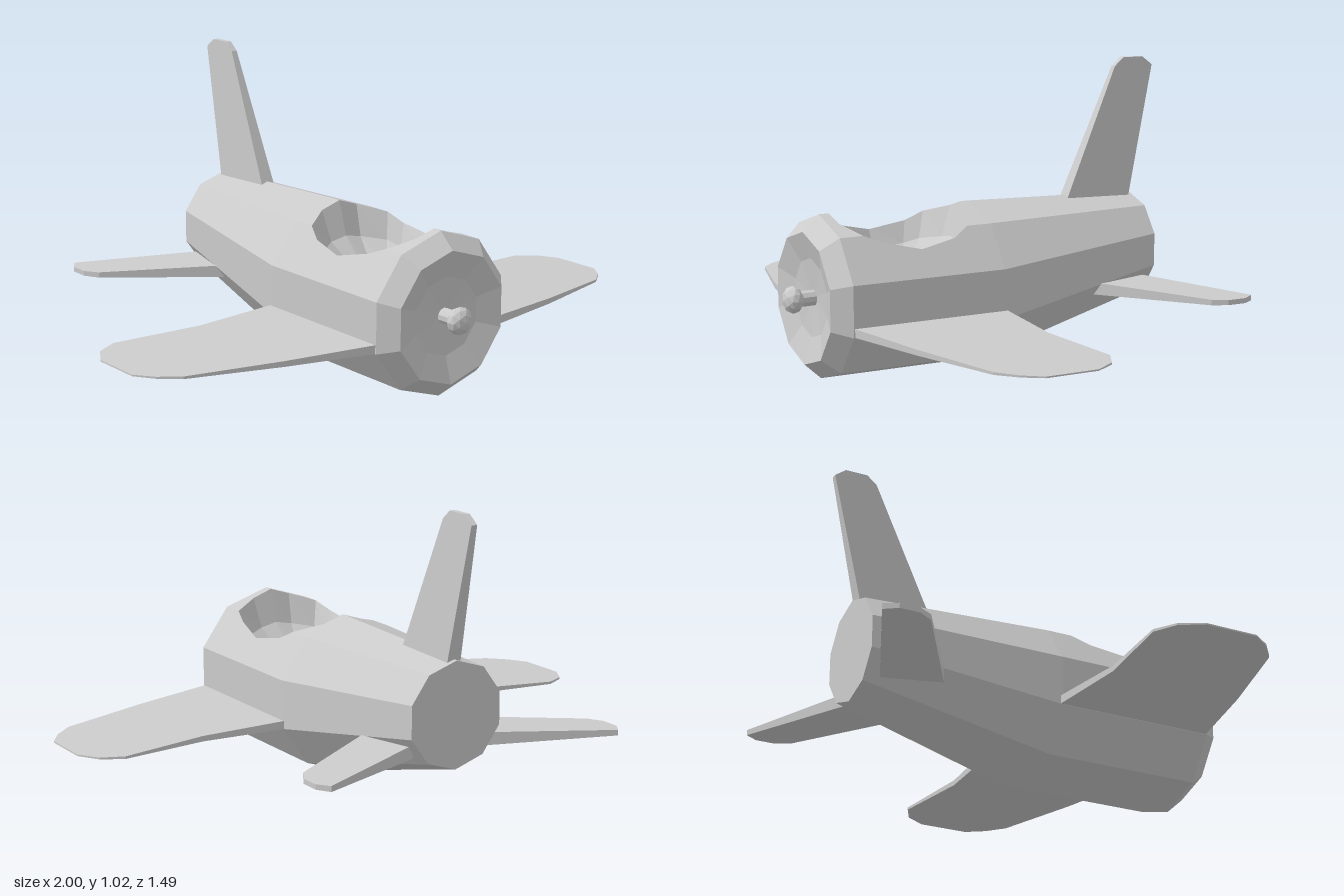
import * as THREE from 'three';

const material = new THREE.MeshStandardMaterial({ color: 0xcccccc, flatShading: true });
const openMaterial = new THREE.MeshStandardMaterial({ color: 0xcccccc, flatShading: true, side: THREE.DoubleSide });

const SIDES = 10, RADIUS = 0.28, AXIS = 0.285;
const X1 = RADIUS * Math.sin(Math.PI / 5), Y1 = AXIS + RADIUS * Math.cos(Math.PI / 5);
const X2 = RADIUS * Math.sin(Math.PI * 2 / 5), Y2 = AXIS + RADIUS * Math.cos(Math.PI * 2 / 5);

function addMesh(parent, name, geometry, mat = material) {
  const mesh = new THREE.Mesh(geometry, mat);
  mesh.name = name;
  parent.add(mesh);
  return mesh;
}

function fromTriangles(positions) {
  const g = new THREE.BufferGeometry();
  g.setAttribute('position', new THREE.Float32BufferAttribute(positions, 3));
  g.computeVertexNormals();
  return g;
}

// Joins equal rings of points with quads; skip(i, k) leaves panels open
function loft(rings, skip = () => false) {
  const out = [];
  for (let i = 0; i < rings.length - 1; i++) {
    const n = rings[i].length;
    for (let k = 0; k < n; k++) {
      if (skip(i, k)) continue;
      const a = rings[i][k], b = rings[i][(k + 1) % n];
      const c = rings[i + 1][(k + 1) % n], d = rings[i + 1][k];
      if (a.distanceTo(b) > 1e-6) out.push(...a, ...b, ...c);
      if (c.distanceTo(d) > 1e-6) out.push(...a, ...c, ...d);
    }
  }
  return fromTriangles(out);
}

// Moves every vertex by a rule, then makes flat facets
function remap(geometry, rule) {
  const g = geometry.index ? geometry.toNonIndexed() : geometry;
  const p = g.attributes.position;
  for (let i = 0; i < p.count; i++) p.setXYZ(i, ...rule(p.getX(i), p.getY(i), p.getZ(i)));
  g.computeVertexNormals();
  return g;
}

const outline = (points) => new THREE.Shape(points.map(([u, v]) => new THREE.Vector2(u, v)));
const slab = (points) => new THREE.ExtrudeGeometry(outline(points), { depth: 1, bevelEnabled: false });

// Height of the upper fuselage skin at a given distance from the middle
function skinHeight(x) {
  const d = Math.abs(x);
  return d < X1
    ? THREE.MathUtils.lerp(AXIS + RADIUS, Y1, d / X1)
    : THREE.MathUtils.lerp(Y1, Y2, (d - X1) / (X2 - X1));
}

export function createModel() {
  const plane = new THREE.Group();
  plane.name = 'airplane';

  // Fuselage: ten-sided sections [z, radius, centre height], dished nose to flat tail
  const sections = [
    [0.63, 0, AXIS], [0.642, 0.135, AXIS], [0.67, 0.226, AXIS], [0.61, RADIUS, AXIS],
    [0.05, RADIUS, AXIS], [-0.605, 0.183, 0.3625], [-0.605, 0, 0.3625],
  ];
  const rings = sections.map(([z, r, cy]) => Array.from({ length: SIDES }, (_, k) => {
    const a = k * Math.PI * 2 / SIDES;
    return new THREE.Vector3(r * Math.sin(a), cy + r * Math.cos(a), z);
  }));
  const deckPanels = [0, 1, 8, 9];
  addMesh(plane, 'fuselage', loft(rings, (i, k) => i === 3 && deckPanels.includes(k)));

  // Cockpit rim, half outline as [x, z] from back to front
  const rim = [[0, 0.08], [0.075, 0.08], [X1, 0.14], [0.188, 0.2], [0.205, 0.33],
    [0.183, 0.46], [X1, 0.525], [0.075, 0.57], [0, 0.575]];

  // Deck panels around the cockpit opening
  const tiles = {
    frontDeck: [[0, 0.61], [X1, 0.61], ...rim.slice(6)],
    rearDeck: [[X1, 0.05], [0, 0.05], ...rim.slice(0, 3)],
    cockpitSide: [[X1, 0.05], [X2, 0.05], [X2, 0.61], [X1, 0.61], ...rim.slice(2, 7).reverse()],
  };
  for (const [name, points] of Object.entries(tiles)) {
    for (const s of [1, -1]) {
      const flat = new THREE.ShapeGeometry(outline(points.map(([x, z]) => [s * x, -z])));
      addMesh(plane, name, remap(flat, (u, v) => [u, skinHeight(u), -v]));
    }
  }

  // Cockpit bowl: the rim shrinks towards the floor, [scale, height fraction]
  const fullRim = [...rim, ...rim.slice(1, -1).reverse().map(([x, z]) => [-x, z])];
  const floor = 0.33;
  const bowl = [[1, 1], [0.85, 0.5], [0.5, 0.13], [0, 0]].map(([s, h]) =>
    fullRim.map(([x, z]) => new THREE.Vector3(
      x * s, floor + (skinHeight(x) - floor) * h, 0.33 + (z - 0.33) * s)));
  addMesh(plane, 'cockpit', loft(bowl), openMaterial);

  // Wings and tailplanes, outlined as [x, z] and thinning outwards
  const wing = [[0.2, 0.045], [0.27, 0.04], [0.57, 0.06], [0.88, 0.02], [0.955, 0.06], [1, 0.135],
    [1, 0.32], [0.955, 0.385], [0.89, 0.44], [0.57, 0.535], [0.27, 0.605], [0.2, 0.615]];
  const tail = [[0.1, -0.3], [0.21, -0.365], [0.565, -0.58], [0.595, -0.63],
    [0.595, -0.7], [0.565, -0.745], [0.2, -0.585], [0.1, -0.54]];
  for (const [s, side] of [[1, 'left'], [-1, 'right']]) {
    const mirrored = (points) => points.map(([x, z]) => [s * x, -z]);
    addMesh(plane, side + 'Wing', remap(slab(mirrored(wing)), (u, v, w) =>
      [u, 0.2 + w * (0.029 - 0.024 * (Math.abs(u) - 0.27) / 0.73), -v]));
    addMesh(plane, side + 'Tailplane', remap(slab(mirrored(tail)), (u, v, w) =>
      [u, 0.249 + (w - 0.5) * (0.042 - 0.025 * (Math.abs(u) - 0.2) / 0.4), -v]));
  }

  // Fin, outlined as [-z, y] and thinning upwards
  const fin = [[0.315, 0.5], [0.335, 0.545], [0.535, 1.0], [0.57, 1.03],
    [0.65, 1.03], [0.69, 1.0], [0.59, 0.545], [0.58, 0.5]];
  addMesh(plane, 'fin', remap(slab(fin), (u, v, w) =>
    [(w - 0.5) * (0.052 - 0.032 * (v - 0.545) / 0.485), v, -u]));

  // Nose shaft and faceted spinner
  const shaft = addMesh(plane, 'noseShaft', new THREE.CylinderGeometry(0.027, 0.027, 0.07, 10));
  shaft.rotation.x = Math.PI / 2;
  shaft.position.set(0, AXIS, 0.66);
  const spinner = addMesh(plane, 'spinner', new THREE.IcosahedronGeometry(1, 1));
  spinner.scale.set(0.047, 0.047, 0.034);
  spinner.position.set(0, AXIS, 0.708);

  return plane;
}
